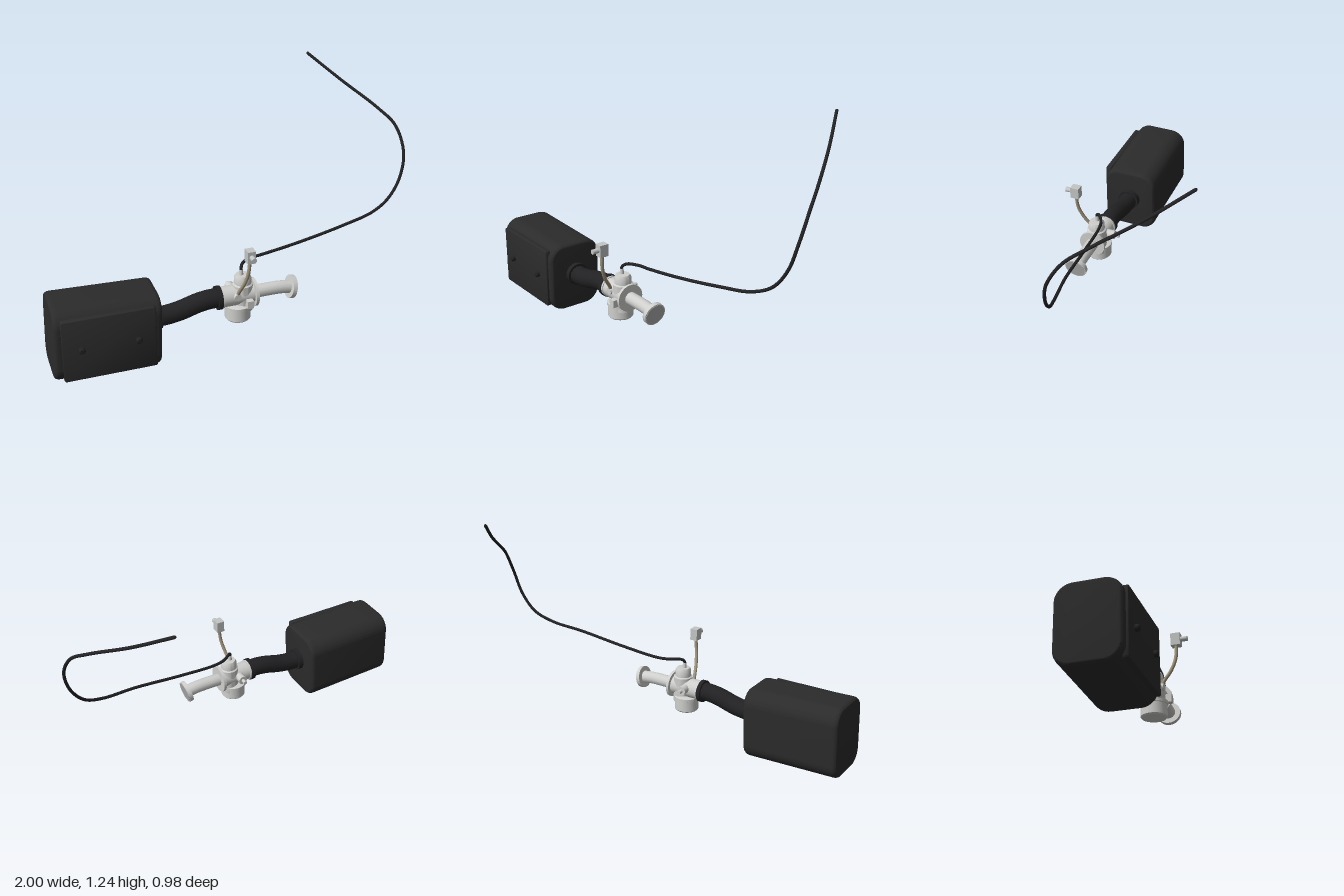
import * as THREE from 'three';
import { toCreasedNormals } from 'three/addons/utils/BufferGeometryUtils.js';

const mat = (name, color, side = THREE.FrontSide) => {
  const m = new THREE.MeshStandardMaterial({ color, side });
  m.name = name;
  return m;
};
const V = (x, y, z) => new THREE.Vector3(x, y, z);

export function createModel() {
  const group = new THREE.Group();
  const black = mat('black plastic', 0x2b2b2b);
  const rubber = mat('black rubber', 0x222224);
  const metal = mat('cast metal', 0xcfcfcd);
  const grey = mat('grey face', 0xb0b0b0);
  const white = mat('connector grey', 0xc4c6c6);
  const beige = mat('beige sleeve', 0xa2957d);

  const add = (name, geo, material, parent = group) => {
    const m = new THREE.Mesh(geo, material);
    m.name = name;
    parent.add(m);
    return m;
  };
  const box = (name, material, w, h, d, x, y, z) =>
    add(name, new THREE.BoxGeometry(w, h, d), material).position.set(x, y, z);
  // Cylinder running between two points
  const rod = (name, material, a, b, r, r2 = r, sides = 32) => {
    const dir = b.clone().sub(a);
    const m = add(name, new THREE.CylinderGeometry(r2, r, dir.length(), sides), material);
    m.position.copy(a).add(b).multiplyScalar(0.5);
    m.quaternion.setFromUnitVectors(V(0, 1, 0), dir.normalize());
    return m;
  };
  const tube = (name, material, pts, r, n) =>
    add(name, new THREE.TubeGeometry(
      new THREE.CatmullRomCurve3(pts.map(p => V(...p))), n, r, 14), material);
  const turned = (name, material, profile, x, y, z) =>
    add(name, toCreasedNormals(new THREE.LatheGeometry(
      profile.map(p => new THREE.Vector2(...p)), 40), 0.6), material).position.set(x, y, z);
  // Rounded slab with a soft edge, centred on its own middle
  const slab = (w, h, d, r, bt, bs) => {
    const s = new THREE.Shape(), a = w / 2, b = h / 2;
    s.moveTo(-a + r, -b);
    s.lineTo(a - r, -b); s.absarc(a - r, -b + r, r, -Math.PI / 2, 0);
    s.lineTo(a, b - r); s.absarc(a - r, b - r, r, 0, Math.PI / 2);
    s.lineTo(-a + r, b); s.absarc(-a + r, b - r, r, Math.PI / 2, Math.PI);
    s.lineTo(-a, -b + r); s.absarc(-a + r, -b + r, r, Math.PI, Math.PI * 1.5);
    const g = new THREE.ExtrudeGeometry(s, {
      depth: d - 2 * bt, bevelThickness: bt, bevelSize: bs, bevelOffset: -bs,
      bevelSegments: 4, curveSegments: 10,
    });
    g.translate(0, 0, -d / 2 + bt);
    return toCreasedNormals(g, 0.6);
  };

  // Air box, slightly tilted, with its front cover and two knobs
  const body = add('airBox', slab(0.306, 0.385, 0.522, 0.085, 0.025, 0.015).rotateY(Math.PI / 2), black);
  body.position.set(-0.735, 0.204, 0.303);
  body.rotation.z = -0.03;
  add('airBoxCover', slab(0.455, 0.325, 0.03, 0.012, 0.004, 0.004), black)
    .position.set(-0.733, 0.203, 0.453);
  for (const x of [-0.87, -0.595]) {
    rod('coverKnob', rubber, V(x, 0.205, 0.46), V(x, 0.205, 0.482), 0.016, 0.016, 20);
    rod('coverKnobCap', rubber, V(x, 0.205, 0.482), V(x, 0.205, 0.488), 0.016, 0.011, 20);
  }

  // Rubber duct with a clamp at each end
  tube('intakeDuct', rubber, [[-0.485, 0.21, 0.303], [-0.42, 0.21, 0.303], [-0.34, 0.222, 0.303],
    [-0.25, 0.247, 0.303], [-0.19, 0.256, 0.303], [-0.13, 0.257, 0.303]], 0.05, 40);
  rod('ductClamp', rubber, V(-0.472, 0.21, 0.303), V(-0.445, 0.21, 0.303), 0.061);
  rod('ductClamp', rubber, V(-0.153, 0.256, 0.303), V(-0.131, 0.256, 0.303), 0.061);

  // Carburettor: barrel, slide tower, float bowl
  rod('barrel', metal, V(-0.14, 0.256, 0.303), V(0.045, 0.256, 0.303), 0.053);
  rod('barrelRim', metal, V(-0.131, 0.256, 0.303), V(-0.12, 0.256, 0.303), 0.057);
  turned('slideTower', metal, [[0, 0.17], [0.052, 0.17], [0.052, 0.315], [0.044, 0.32],
    [0.044, 0.352], [0.036, 0.367], [0, 0.368]], -0.012, 0, 0.303);
  turned('floatBowl', metal, [[0, 0.124], [0.06, 0.124], [0.066, 0.131], [0.066, 0.188],
    [0.07, 0.19], [0.07, 0.206], [0.05, 0.212], [0, 0.212]], -0.037, 0, 0.303);
  rod('cableNipple', metal, V(-0.02, 0.36, 0.303), V(-0.02, 0.396, 0.303), 0.012, 0.009, 20);

  // Outlet flange, pipe and tilted end flange
  rod('outletFlange', metal, V(0.04, 0.256, 0.303), V(0.055, 0.256, 0.303), 0.073);
  tube('outletPipe', metal, [[0.05, 0.256, 0.303], [0.12, 0.257, 0.303], [0.19, 0.256, 0.303],
    [0.25, 0.249, 0.303]], 0.034, 24);
  const tilt = V(Math.cos(0.2), -Math.sin(0.2), 0);
  const end = V(0.243, 0.25, 0.303);
  const at = d => end.clone().addScaledVector(tilt, d);
  rod('endFlange', metal, at(0), at(0.022), 0.06);
  rod('endFace', grey, at(0.015), at(0.024), 0.054);

  // Side fittings
  rod('rearBoss', metal, V(-0.055, 0.265, 0.26), V(-0.055, 0.265, 0.215), 0.024);
  rod('rearSpout', metal, V(-0.055, 0.265, 0.22), V(-0.055, 0.265, 0.188), 0.01, 0.01, 20);
  box('frontFitting', metal, 0.034, 0.04, 0.06, 0.004, 0.23, 0.356);
  rod('frontScrew', metal, V(-0.055, 0.27, 0.34), V(-0.055, 0.27, 0.362), 0.022, 0.018);

  // Sensor lead and its plug
  tube('sensorLead', beige, [[-0.055, 0.27, 0.345], [-0.05, 0.305, 0.362], [-0.038, 0.36, 0.395],
    [-0.025, 0.43, 0.418], [-0.018, 0.505, 0.421]], 0.009, 30);
  box('plugBody', white, 0.042, 0.064, 0.048, -0.017, 0.529, 0.421);
  rod('plugTip', white, V(-0.017, 0.531, 0.44), V(-0.017, 0.531, 0.479), 0.013, 0.013, 20);

  // Control cable
  const path = [[-0.02, 0.38, 0.303], [-0.02, 0.405, 0.302], [-0.005, 0.42, 0.283], [0.05, 0.421, 0.246],
    [0.115, 0.421, 0.232], [0.33, 0.446, 0.212], [0.6, 0.49, 0.184], [0.785, 0.522, 0.147],
    [0.89, 0.575, 0.117], [0.96, 0.675, 0.096], [0.989, 0.805, 0.067], [0.97, 0.935, -0.01],
    [0.915, 1.005, -0.108], [0.785, 1.118, -0.305], [0.655, 1.236, -0.483]];
  tube('controlCable', rubber, path, 0.008, 220);
  for (const i of [0, path.length - 1]) {
    add('cableEnd', new THREE.SphereGeometry(0.008, 14, 10), rubber).position.set(...path[i]);
  }
  return group;
}
